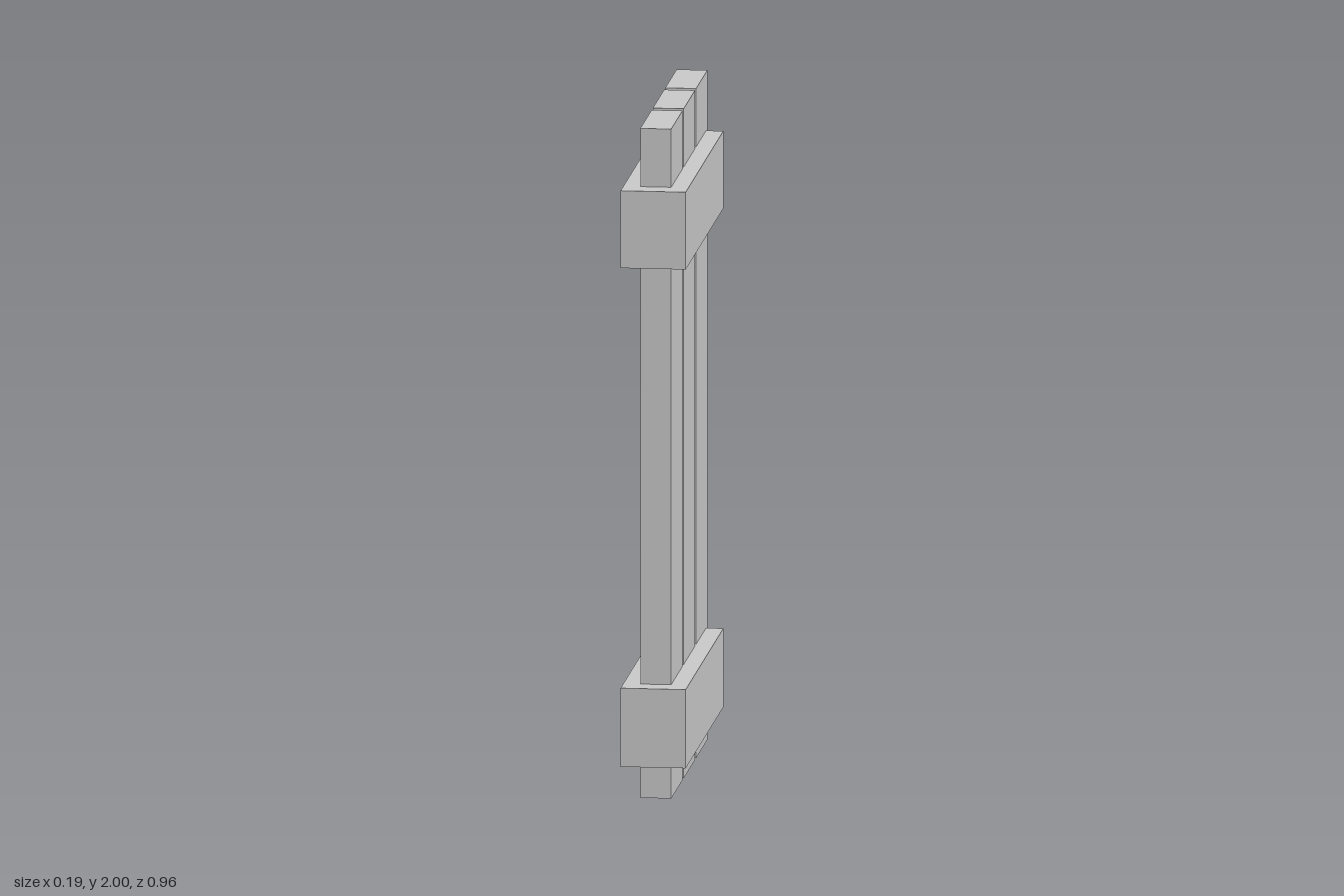
import * as THREE from 'three';

export function createModel() {
  const model = new THREE.Group();
  model.name = 'plankDoor';
  const material = new THREE.MeshStandardMaterial({ color: 0xcccccc, flatShading: true });

  // Box given by its limits along each axis
  function addBox(name, [x0, x1], [y0, y1], [z0, z1]) {
    const mesh = new THREE.Mesh(new THREE.BoxGeometry(x1 - x0, y1 - y0, z1 - z0), material);
    mesh.position.set((x0 + x1) / 2, (y0 + y1) / 2, (z0 + z1) / 2);
    mesh.name = name;
    model.add(mesh);
  }

  // Three upright planks with narrow gaps between them
  const planks = { frontPlank: 0.273, middlePlank: -0.035, hingePlank: -0.341 };
  for (const [name, z] of Object.entries(planks)) {
    addBox(name, [-0.047, 0.044], [0, 2], [z - 0.139, z + 0.139]);
  }

  // Two solid cross battens, overhanging the front plank and stopping short of the rear edge
  addBox('lowerBatten', [-0.097, 0.095], [0.105, 0.34], [-0.447, 0.48]);
  addBox('upperBatten', [-0.097, 0.095], [1.595, 1.826], [-0.447, 0.48]);

  return model;
}
